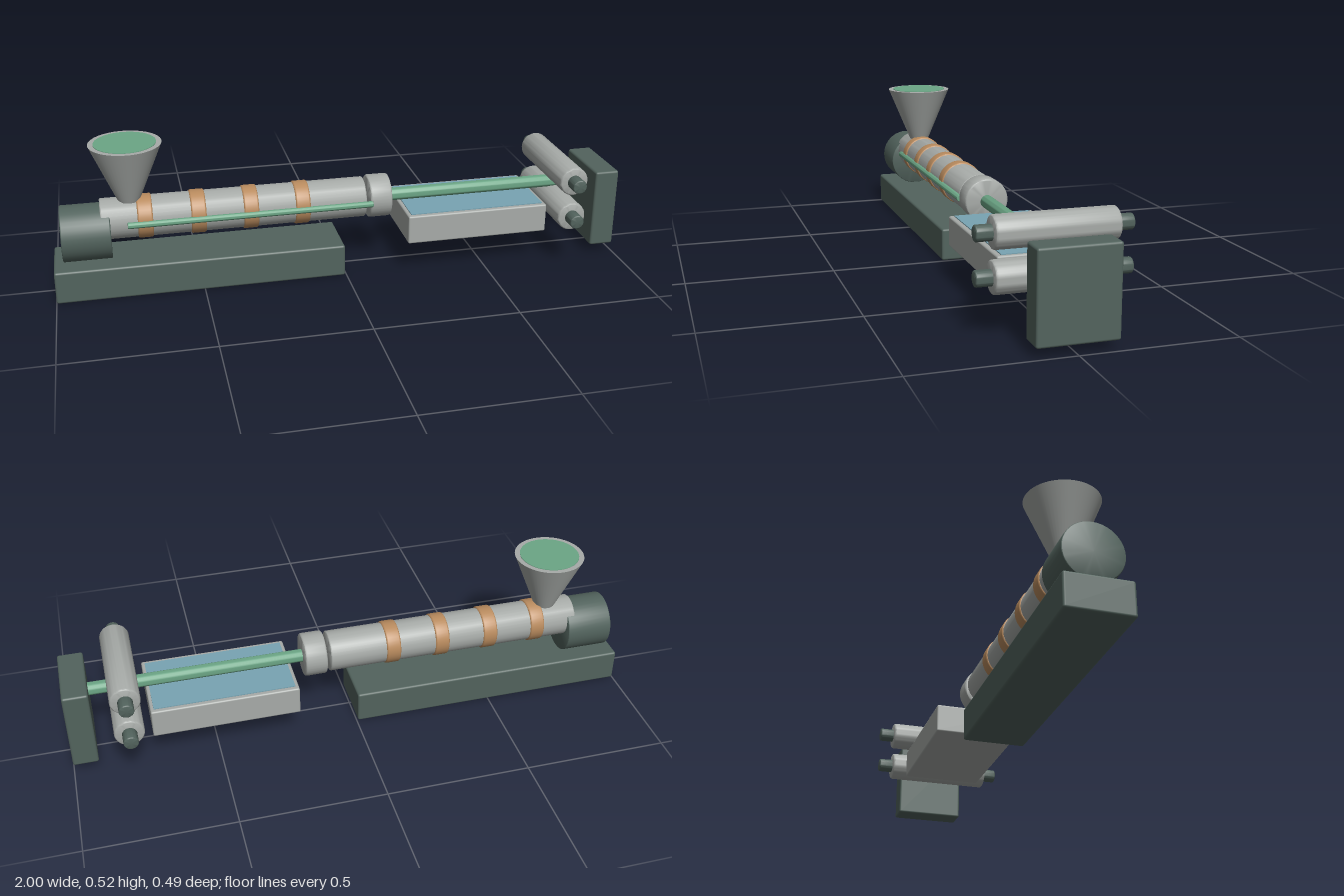
import * as THREE from 'three';
import { RoundedBoxGeometry } from 'three/addons/geometries/RoundedBoxGeometry.js';
import { toCreasedNormals } from 'three/addons/utils/BufferGeometryUtils.js';

const paint = (name, color) => {
  const m = new THREE.MeshStandardMaterial({ color });
  m.name = name;
  return m;
};

// Cylinder along y with softened rims
function roundedCylinder(radius, length, bevel = 0.008, sides = 40) {
  const h = length / 2, pts = [new THREE.Vector2(0, -h)];
  for (const s of [-1, 1]) {
    for (let i = 0; i <= 4; i++) {
      const a = (s < 0 ? i - 4 : i) * Math.PI / 8;
      pts.push(new THREE.Vector2(radius - bevel + bevel * Math.cos(a), s * (h - bevel) + bevel * Math.sin(a)));
    }
  }
  pts.push(new THREE.Vector2(0, h));
  return toCreasedNormals(new THREE.LatheGeometry(pts, sides), 0.6);
}

export function createModel() {
  const model = new THREE.Group();
  model.name = 'extrusionLine';
  const dark = paint('darkMachineGreen', 0x52635d);
  const steel = paint('steel', 0xa7aba8);
  const copper = paint('copperHeater', 0xb98b5e);
  const plastic = paint('greenPlastic', 0x6ca686);
  const water = paint('water', 0x78a4b3);

  const add = (name, geometry, material, x, y, z) => {
    const mesh = new THREE.Mesh(geometry, material);
    mesh.name = name;
    mesh.position.set(x, y, z);
    model.add(mesh);
    return mesh;
  };
  const box = (name, mat, x0, x1, y0, y1, halfZ, r = 0.008) =>
    add(name, new RoundedBoxGeometry(x1 - x0, y1 - y0, halfZ * 2, 3, r), mat, (x0 + x1) / 2, (y0 + y1) / 2, 0);
  const barX = (name, mat, x0, x1, y, z, r, bevel) => {
    add(name, roundedCylinder(r, x1 - x0, bevel), mat, (x0 + x1) / 2, y, z).rotation.z = -Math.PI / 2;
  };
  const barZ = (name, mat, x, y, z0, z1, r, bevel) => {
    add(name, roundedCylinder(r, z1 - z0, bevel), mat, x, y, (z0 + z1) / 2).rotation.x = Math.PI / 2;
  };

  // Machine bed, drive motor and barrel
  box('bed', dark, -1, -0.005, 0, 0.115, 0.108);
  barX('motor', dark, -0.967, -0.802, 0.21, 0, 0.097, 0.004);
  barX('barrel', steel, -0.833, 0.082, 0.252, 0, 0.071, 0.005);
  for (let i = 0; i < 4; i++) {
    const x = -0.685 + i * 0.18;
    barX('heaterBand', copper, x - 0.026, x + 0.026, 0.252, 0, 0.0755, 0.006);
  }
  barX('dieHead', steel, 0.095, 0.173, 0.252, 0, 0.076, 0.007);

  // Thin screw line along the front of the barrel
  barX('screwLine', plastic, -0.745, 0.102, 0.25, 0.074, 0.011, 0.002);

  // Feed hopper with its fill of pellets
  add('hopper', new THREE.CylinderGeometry(0.122, 0.037, 0.204, 48), steel, -0.733, 0.417, 0);
  add('pellets', new THREE.CylinderGeometry(0.104, 0.104, 0.003, 48), plastic, -0.733, 0.5195, 0);

  // Extruded strand
  barX('strand', plastic, 0.165, 0.92, 0.25, 0, 0.0225, 0.002);

  // Cooling bath
  box('bathTank', steel, 0.213, 0.722, 0.117, 0.22, 0.147, 0.006);
  add('bathWater', new THREE.BoxGeometry(0.485, 0.008, 0.262), water, 0.468, 0.219, 0);

  // Pull rollers with shaft stubs at both ends
  for (const y of [0.184, 0.317]) {
    barZ('pullRoller', steel, 0.8, y, -0.192, 0.192, 0.051, 0.008);
    for (const s of [-1, 1]) {
      barZ('rollerShaft', dark, 0.8, y, Math.min(s * 0.18, s * 0.243), Math.max(s * 0.18, s * 0.243), 0.025, 0.005);
    }
  }

  // Cutter block at the end of the line
  box('cutterBlock', dark, 0.913, 1, 0.031, 0.317, 0.127);

  return model;
}
